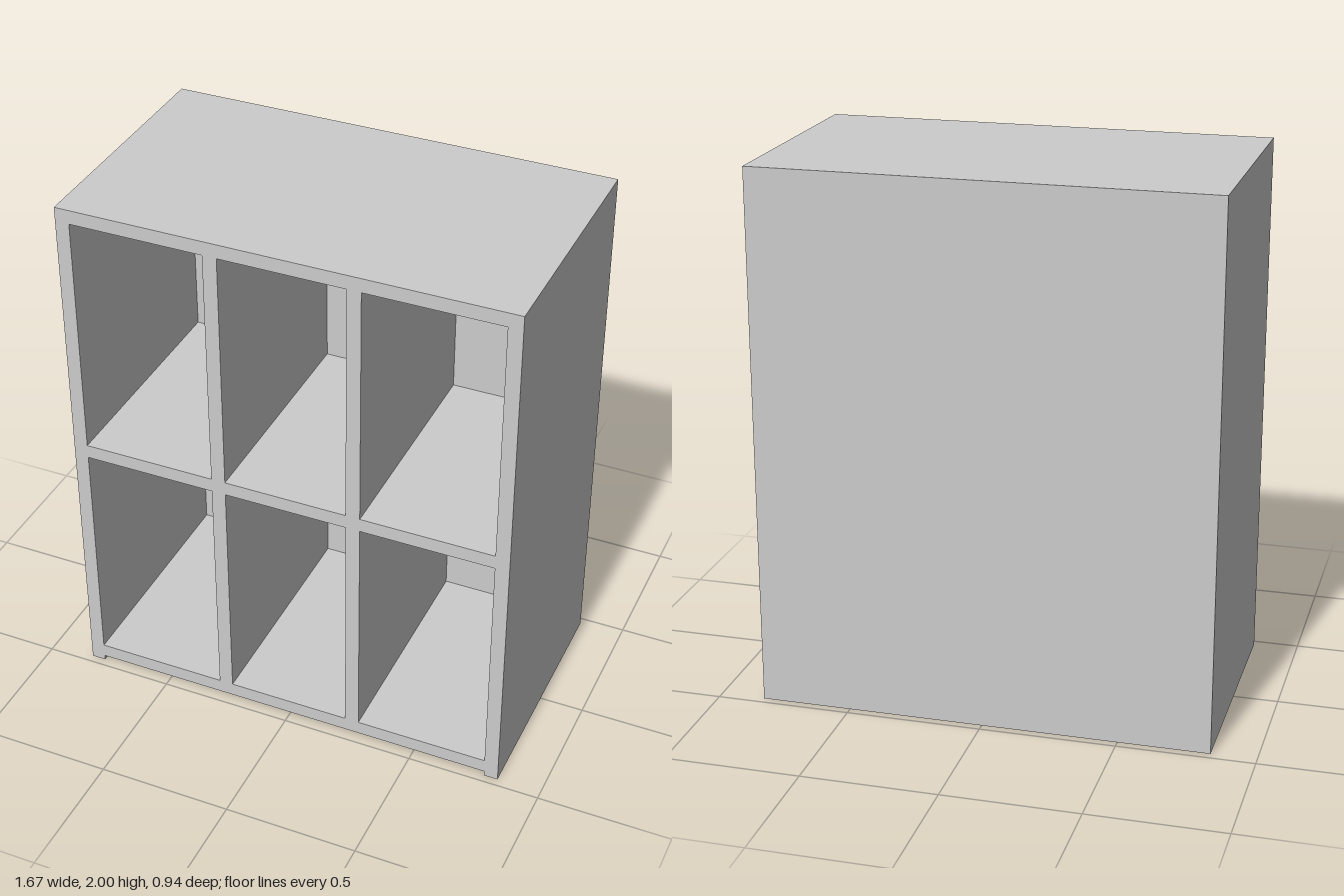
import * as THREE from 'three';

const W = 1.67, H = 2, D = 0.94, T = 0.053; // overall size and board thickness

export function createModel() {
  const group = new THREE.Group();
  const material = new THREE.MeshStandardMaterial({ color: 0xcccccc, flatShading: true });

  // Board given by its minimum and maximum corners
  function board(name, [x0, y0, z0], [x1, y1, z1]) {
    const mesh = new THREE.Mesh(new THREE.BoxGeometry(x1 - x0, y1 - y0, z1 - z0), material);
    mesh.name = name;
    mesh.position.set((x0 + x1) / 2, (y0 + y1) / 2, (z0 + z1) / 2);
    group.add(mesh);
  }

  const inX = W / 2 - T, front = D / 2, back = -D / 2 + T;
  const bottomY = 0.02, floorY = bottomY + T, shelfY = 1;

  // Side panels reach the ground
  board('leftSide', [inX, 0, back], [W / 2, H, front]);
  board('rightSide', [-W / 2, 0, back], [-inX, H, front]);

  // Back panel closes the full width
  board('backPanel', [-W / 2, 0, -D / 2], [W / 2, H, back]);

  // Top and raised bottom between the sides
  board('topPanel', [-inX, H - T, back], [inX, H, front]);
  board('bottomPanel', [-inX, bottomY, back], [inX, floorY, front]);

  // Middle shelf
  board('shelf', [-inX, shelfY - T / 2, back], [inX, shelfY + T / 2, front]);

  // Two dividers in each row, making six compartments
  const rows = [['lower', floorY, shelfY - T / 2], ['upper', shelfY + T / 2, H - T]];
  for (const [row, y0, y1] of rows) {
    for (const [side, x] of [['Left', 0.258], ['Right', -0.258]]) {
      board(`${row}${side}Divider`, [x - T / 2, y0, back], [x + T / 2, y1, front]);
    }
  }
  return group;
}
